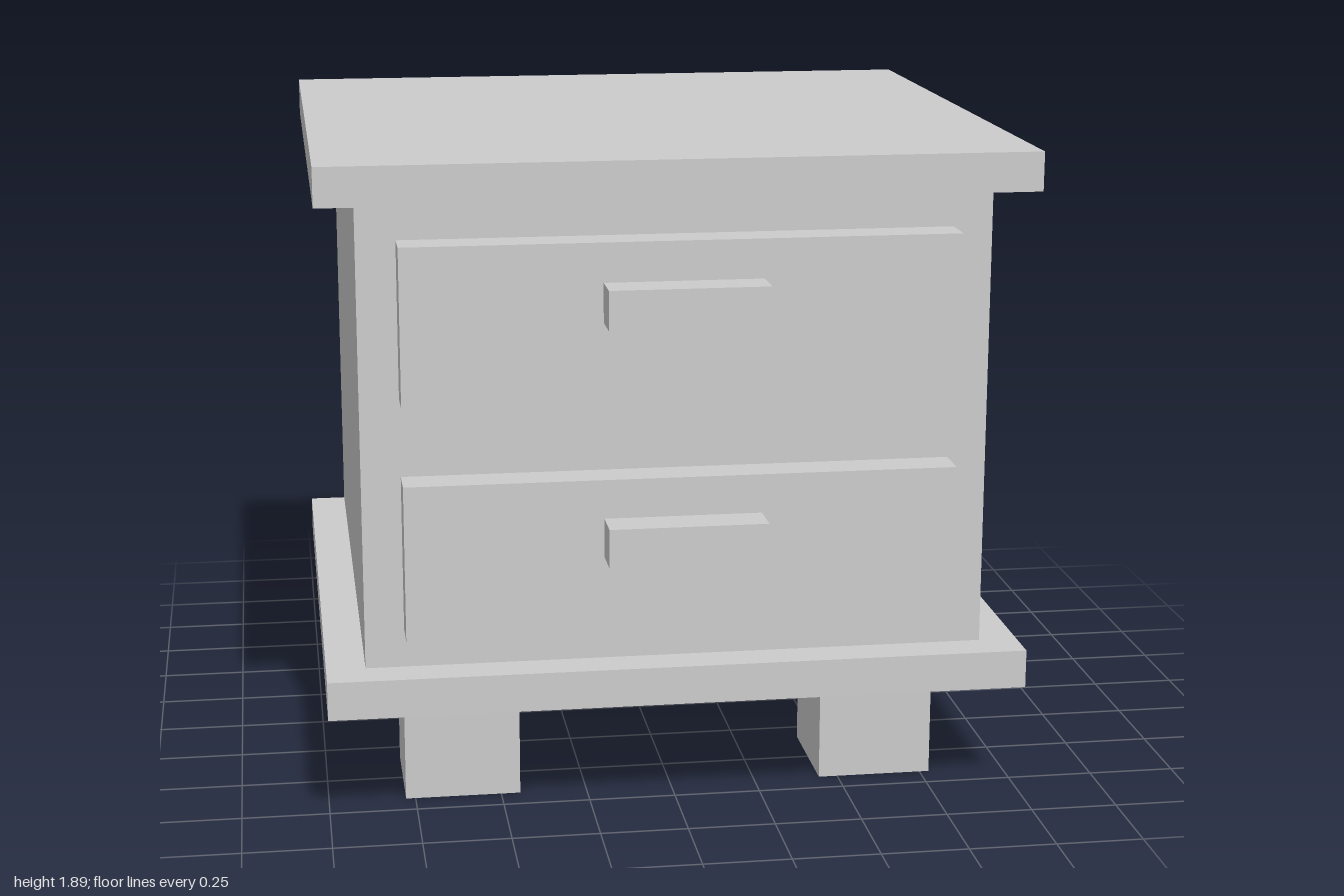
import * as THREE from 'three';

const U = 1 / 9; // the whole design sits on a grid of ninths
const material = new THREE.MeshStandardMaterial({ color: 0xcccccc, flatShading: true });

// Box given by its extents along each axis, in grid units
function box(name, [x0, x1], [y0, y1], [z0, z1]) {
  const geometry = new THREE.BoxGeometry((x1 - x0) * U, (y1 - y0) * U, (z1 - z0) * U);
  const mesh = new THREE.Mesh(geometry, material);
  mesh.name = name;
  mesh.position.set((x0 + x1) / 2 * U, (y0 + y1) / 2 * U, (z0 + z1) / 2 * U);
  return mesh;
}

export function createModel() {
  const model = new THREE.Group();
  model.name = 'nightstand';

  // Carcass between two overhanging slabs, all flush at the back
  model.add(
    box('basePlate', [-9, 9], [3, 4], [-9, 8]),
    box('cabinetBody', [-8, 8], [4, 16], [-9, 7]),
    box('tableTop', [-9, 9], [16, 17], [-9, 8]),
  );

  // Drawers with bar handles
  [['lower', 5], ['upper', 11]].forEach(([level, y]) => {
    const drawer = new THREE.Group();
    drawer.name = `${level}Drawer`;
    drawer.add(
      box(`${level}DrawerFront`, [-7, 7], [y, y + 4], [7, 8]),
      box(`${level}DrawerHandle`, [-2, 2], [y + 2, y + 3], [8, 9]),
    );
    model.add(drawer);
  });

  // Four square legs
  for (const [end, z] of [['front', 3], ['back', -8]]) {
    model.add(
      box(`${end}LeftLeg`, [4, 7], [0, 3], [z, z + 3]),
      box(`${end}RightLeg`, [-7, -4], [0, 3], [z, z + 3]),
    );
  }

  return model;
}
